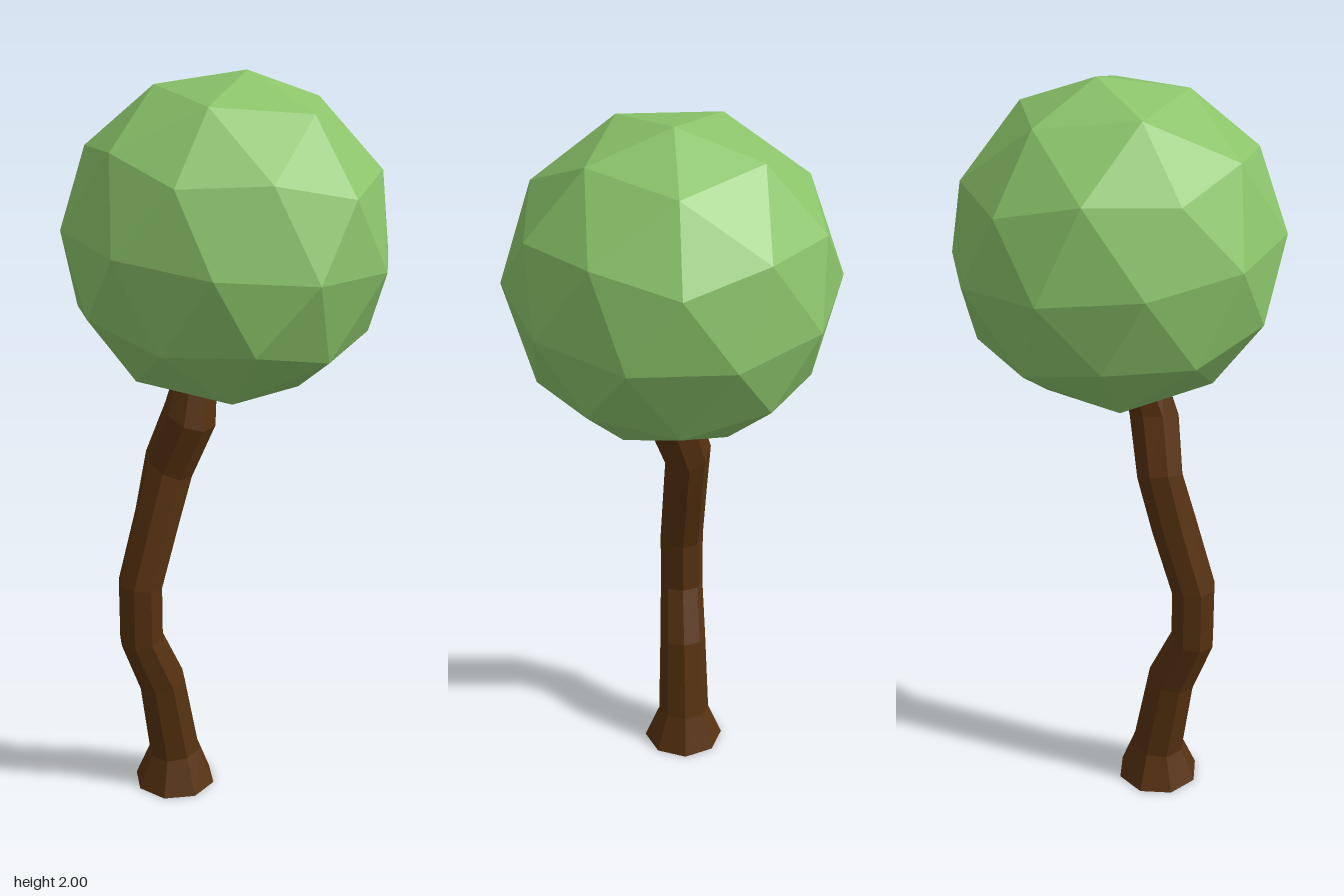
import * as THREE from 'three';

const SIDES = 8;

// Trunk rings: centre x, y, z, radius, then tilt of the ring along x and z
const RINGS = [
  [-0.15, 0.0, -0.04, 0.112, 0, 0],
  [-0.15, 0.1, -0.041, 0.072, 0.1, 0],
  [-0.187, 0.33, -0.04, 0.065, 0.2, 0],
  [-0.248, 0.48, -0.04, 0.06, 0.15, 0],
  [-0.248, 0.645, -0.04, 0.06, -0.15, 0],
  [-0.19, 0.83, -0.045, 0.06, -0.3, 0],
  [-0.15, 0.97, -0.05, 0.062, -0.3, -0.4],
  [-0.11, 1.12, -0.005, 0.067, -0.15, -0.4],
  [-0.085, 1.22, -0.015, 0.055, -0.3, 0],
];

function trunkGeometry() {
  const pos = [];
  const index = [];
  for (const [x, y, z, r, tx, tz] of RINGS) {
    for (let i = 0; i < SIDES; i++) {
      const a = (i / SIDES) * Math.PI * 2;
      const dx = r * Math.cos(a);
      const dz = r * Math.sin(a);
      pos.push(x + dx, y + tx * dx + tz * dz, z + dz);
    }
  }
  // Side walls
  for (let k = 0; k < RINGS.length - 1; k++) {
    for (let i = 0; i < SIDES; i++) {
      const a = k * SIDES + i;
      const b = k * SIDES + ((i + 1) % SIDES);
      index.push(a, a + SIDES, b, b, a + SIDES, b + SIDES);
    }
  }
  // Bottom and top caps
  const top = (RINGS.length - 1) * SIDES;
  for (let i = 1; i < SIDES - 1; i++) {
    index.push(0, i, i + 1);
    index.push(top, top + i + 1, top + i);
  }
  const geo = new THREE.BufferGeometry();
  geo.setAttribute('position', new THREE.Float32BufferAttribute(pos, 3));
  geo.setIndex(index);
  geo.computeVertexNormals();
  return geo;
}

export function createModel() {
  const bark = new THREE.MeshStandardMaterial({ color: 0x573210, flatShading: true });
  bark.name = 'bark brown';
  const leaf = new THREE.MeshStandardMaterial({ color: 0x8bc46a, flatShading: true });
  leaf.name = 'leaf green';

  const tree = new THREE.Group();
  tree.name = 'tree';

  // Crooked trunk with a flared foot
  const trunk = new THREE.Mesh(trunkGeometry(), bark);
  trunk.name = 'trunk';
  tree.add(trunk);

  // Faceted round crown, tilted sideways
  const crown = new THREE.Mesh(new THREE.IcosahedronGeometry(0.427, 1), leaf);
  crown.name = 'crown';
  crown.rotation.z = THREE.MathUtils.degToRad(-39.2);
  crown.position.y = 1.577;
  tree.add(crown);

  return tree;
}
